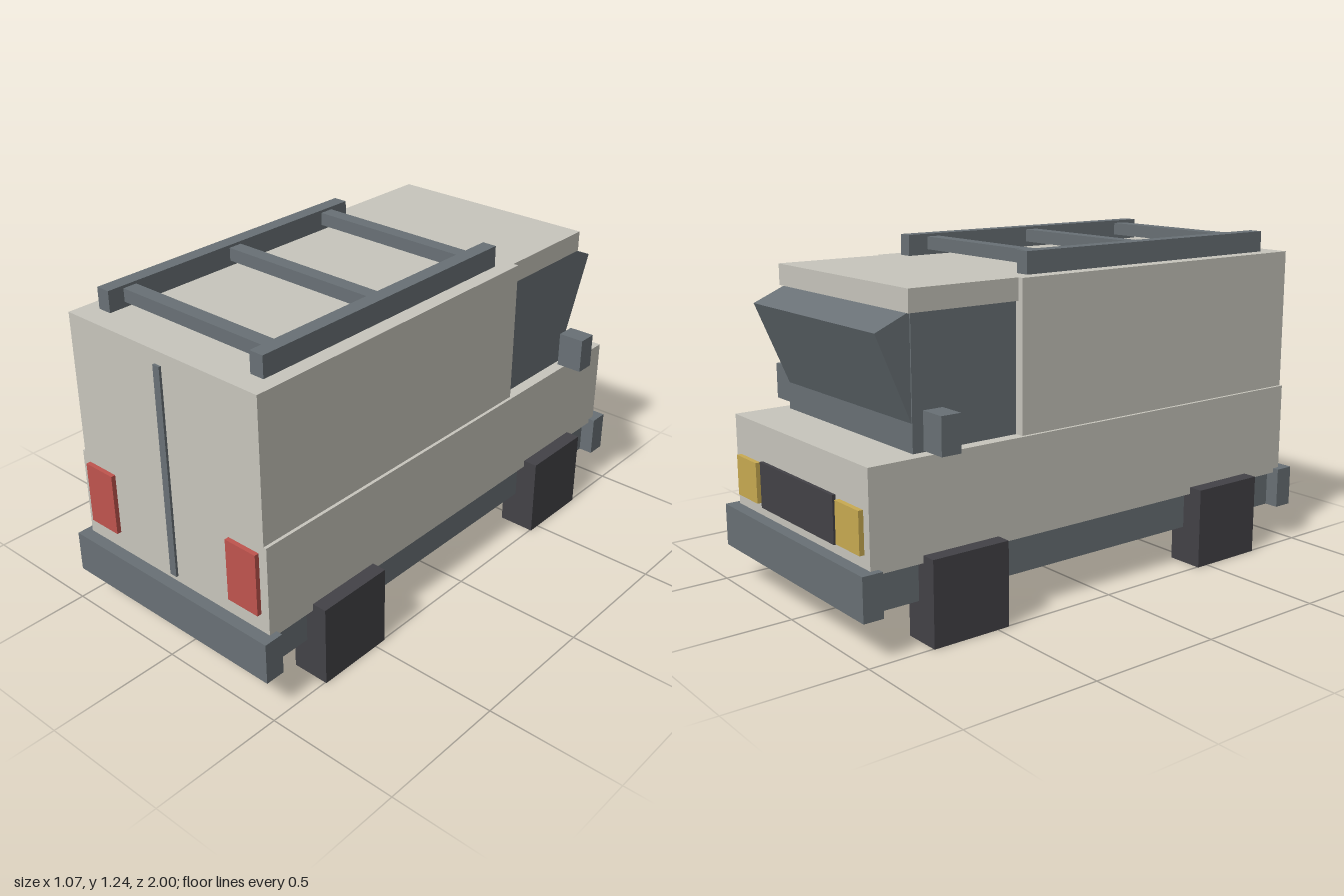
import * as THREE from 'three';

const flat = (name, color) => {
  const m = new THREE.MeshStandardMaterial({ color });
  m.name = name;
  return m;
};

export function createModel() {
  const van = new THREE.Group();
  van.name = 'camperVan';

  const cream = flat('creamPaint', 0xc8c6bd);
  const slate = flat('slateTrim', 0x697176);
  const dark = flat('darkRubber', 0x434247);
  const red = flat('redLamp', 0xc0544e);
  const yellow = flat('yellowLamp', 0xc9ab52);

  // Box given by its extents along each axis
  const box = (name, mat, [x0, x1], [y0, y1], [z0, z1], parent = van) => {
    const mesh = new THREE.Mesh(new THREE.BoxGeometry(x1 - x0, y1 - y0, z1 - z0), mat);
    mesh.position.set((x0 + x1) / 2, (y0 + y1) / 2, (z0 + z1) / 2);
    mesh.name = name;
    parent.add(mesh);
    return mesh;
  };
  // The same box on both sides
  const pair = (name, mat, [x0, x1], y, z, parent = van) => {
    box(name + 'Left', mat, [x0, x1], y, z, parent);
    box(name + 'Right', mat, [-x1, -x0], y, z, parent);
  };

  // Chassis and bumpers
  box('chassis', slate, [-0.42, 0.42], [0.14, 0.278], [-0.925, 0.925]);
  box('rearBumper', slate, [-0.475, 0.475], [0.14, 0.295], [0.925, 1]);
  box('frontBumper', slate, [-0.475, 0.475], [0.14, 0.295], [-1, -0.925]);

  // Body shell
  box('lowerBody', cream, [-0.45, 0.45], [0.278, 0.63], [-0.955, 0.955]);
  box('upperBody', cream, [-0.438, 0.438], [0.63, 1.16], [-0.345, 0.955]);
  box('cabRoof', cream, [-0.418, 0.418], [1.083, 1.16], [-0.775, -0.345]);

  // Cab glass and the forward-leaning windscreen
  box('cabGlass', slate, [-0.405, 0.405], [0.63, 1.083], [-0.76, -0.345]);
  const profile = new THREE.Shape([
    [0.75, 0.705], [0.888, 1.03], [0.765, 1.083], [0.75, 1.083],
  ].map(([z, y]) => new THREE.Vector2(z, y)));
  const screen = new THREE.ExtrudeGeometry(profile, { depth: 0.8, bevelEnabled: false });
  screen.translate(0, 0, -0.4).rotateY(Math.PI / 2);
  const windscreen = new THREE.Mesh(screen, slate);
  windscreen.name = 'windscreen';
  van.add(windscreen);

  // Mirrors
  pair('mirror', slate, [0.437, 0.537], [0.645, 0.776], [-0.74, -0.665]);

  // Square wheels
  pair('frontWheel', dark, [0.362, 0.505], [0, 0.304], [-0.757, -0.455]);
  pair('rearWheel', dark, [0.362, 0.505], [0, 0.304], [0.453, 0.755]);

  // Rear door seam and lamps
  box('rearDoorSeam', slate, [-0.015, 0.015], [0.318, 1.112], [0.955, 0.964]);
  pair('tailLamp', red, [0.28, 0.415], [0.363, 0.597], [0.955, 0.972]);

  // Grille and headlamps
  box('grille', dark, [-0.25, 0.25], [0.33, 0.497], [-0.968, -0.955]);
  pair('headlamp', yellow, [0.272, 0.417], [0.34, 0.488], [-0.973, -0.955]);

  // Roof rack
  const rack = new THREE.Group();
  rack.name = 'roofRack';
  van.add(rack);
  pair('rackRail', slate, [0.327, 0.382], [1.16, 1.238], [-0.28, 0.872], rack);
  [-0.17, 0.305, 0.782].forEach((z, i) =>
    box('rackBar' + (i + 1), slate, [-0.327, 0.327], [1.18, 1.228], [z - 0.027, z + 0.027], rack));

  return van;
}
